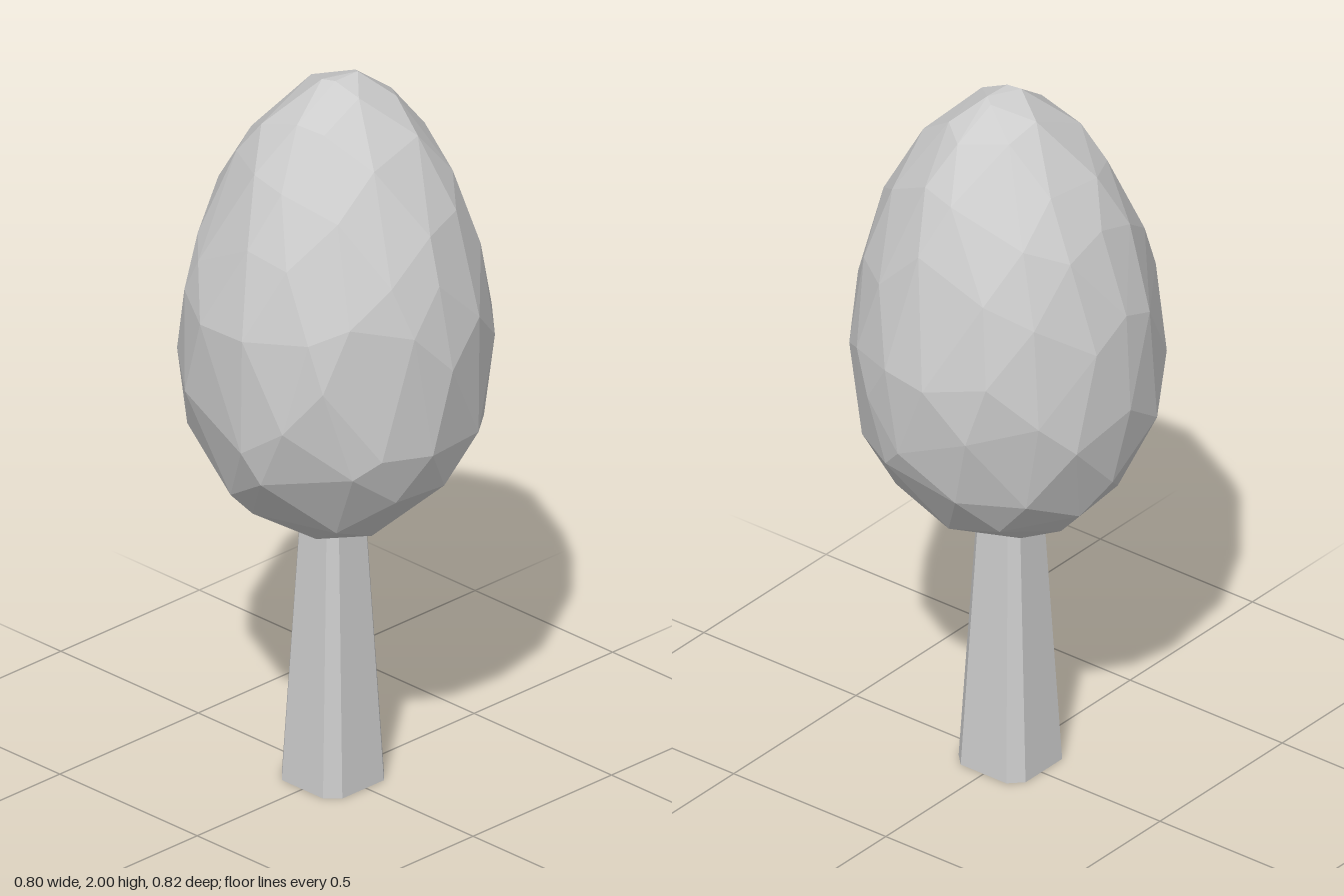
import * as THREE from 'three';
import { ConvexGeometry } from 'three/addons/geometries/ConvexGeometry.js';
import { mergeVertices } from 'three/addons/utils/BufferGeometryUtils.js';

const grey = new THREE.MeshStandardMaterial({ color: 0xcccccc, flatShading: true });
grey.name = 'plain grey';

// Crown profile: height, radius
const profile = [
  [0.72, 0.09], [0.78, 0.22], [0.88, 0.315], [1.0, 0.378], [1.12, 0.406], [1.35, 0.41],
  [1.5, 0.375], [1.65, 0.33], [1.77, 0.27], [1.88, 0.2], [1.96, 0.11], [2.0, 0.04],
];

function crownRadius(y) {
  const i = Math.max(1, profile.findIndex(([h]) => h >= y));
  const [y0, r0] = profile[i - 1];
  const [y1, r1] = profile[i];
  return THREE.MathUtils.mapLinear(y, y0, y1, r0, r1);
}

// Small seeded generator, returns -1..1
function seeded(seed) {
  let s = seed;
  return () => {
    s = (s * 16807) % 2147483647;
    return (s / 2147483647) * 2 - 1;
  };
}

// Egg-shaped crown: irregular points on the profile, wrapped in a faceted hull
function makeCrown() {
  const rnd = seeded(4217);
  const ball = new THREE.IcosahedronGeometry(1, 2);
  ball.deleteAttribute('uv');
  ball.deleteAttribute('normal');
  const pos = mergeVertices(ball, 1e-3).attributes.position;
  const points = [];
  for (let i = 0; i < pos.count; i++) {
    const p = new THREE.Vector3().fromBufferAttribute(pos, i);
    p.add(new THREE.Vector3(rnd(), rnd(), rnd()).multiplyScalar(0.11)).normalize();
    const y = 1.36 + 0.64 * THREE.MathUtils.clamp(p.y * 1.01, -1, 1);
    const angle = Math.atan2(p.z, p.x);
    const r = crownRadius(y);
    // The tip leans slightly towards +x
    const lean = 0.02 * Math.max(0, y - 1.36) / 0.64;
    points.push(new THREE.Vector3(Math.cos(angle) * r + lean, y, Math.sin(angle) * r));
  }
  // Crown tip and flat underside
  points.push(new THREE.Vector3(-0.03, 1.995, -0.02), new THREE.Vector3(0.06, 2, 0.02));
  points.push(new THREE.Vector3(-0.1, 0.72, 0.03), new THREE.Vector3(0.06, 0.72, -0.09));
  points.push(new THREE.Vector3(0.05, 0.72, 0.06));
  return new THREE.Mesh(new ConvexGeometry(points), grey);
}

// Square trunk with cut corners, narrowing upwards
function makeTrunk() {
  const h = 0.11, c = 0.075;
  const outline = [[h, -c], [h, c], [c, h], [-c, h], [-h, c], [-h, -c], [-c, -h], [c, -h]];
  const shape = new THREE.Shape(outline.map(([x, y]) => new THREE.Vector2(x, y)));
  const geo = new THREE.ExtrudeGeometry(shape, { depth: 0.8, bevelEnabled: false });
  geo.rotateX(-Math.PI / 2);
  const pos = geo.attributes.position;
  for (let i = 0; i < pos.count; i++) {
    const k = 1 - 0.48 * pos.getY(i);
    pos.setX(i, pos.getX(i) * k - 0.01);
    pos.setZ(i, pos.getZ(i) * k);
  }
  geo.computeVertexNormals();
  return new THREE.Mesh(geo, grey);
}

export function createModel() {
  const tree = new THREE.Group();
  tree.name = 'tree';
  const crown = makeCrown();
  crown.name = 'crown';
  const trunk = makeTrunk();
  trunk.name = 'trunk';
  tree.add(crown, trunk);
  return tree;
}
